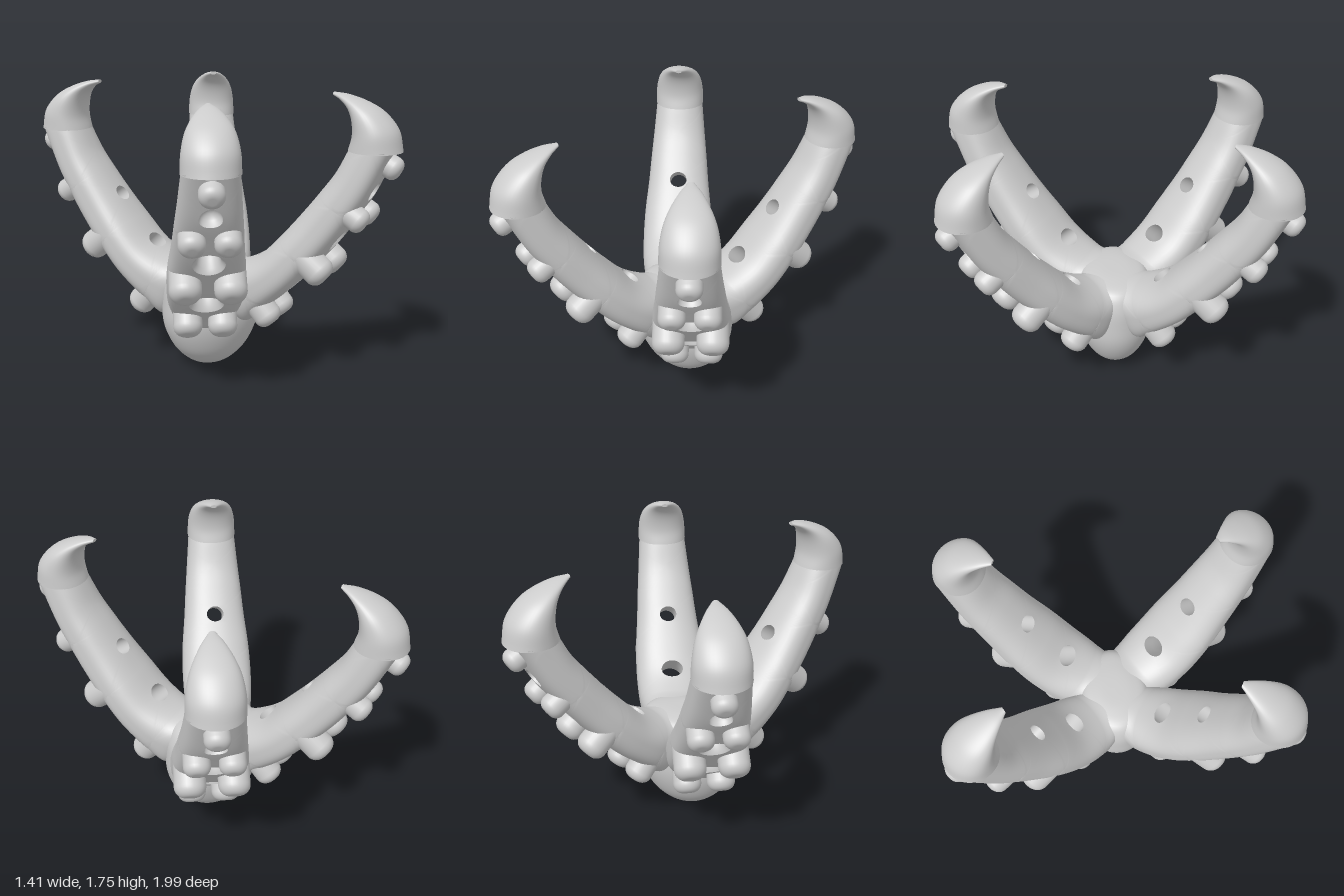
import * as THREE from 'three';
import { toCreasedNormals } from 'three/addons/utils/BufferGeometryUtils.js';

const material = new THREE.MeshStandardMaterial({ color: 0xcccccc });
const lerp = THREE.MathUtils.lerp;

// Stations: [outer z, outer y, inner z, inner y, half width]
const ARM = [
  [0.12, 0.42, 0.08, 0.46, 0.04],
  [0.22, 0.32, 0.02, 0.66, 0.17],
  [0.34, 0.42, 0.17, 0.69, 0.215],
  [0.51, 0.57, 0.316, 0.77, 0.227],
  [0.65, 0.73, 0.45, 0.91, 0.22],
  [0.785, 0.9, 0.567, 1.05, 0.2],
  [0.885, 1.05, 0.675, 1.19, 0.185],
  [0.975, 1.2, 0.76, 1.31, 0.17],
  [1.09, 1.45, 0.83, 1.45, 0.15],
];
const CLAW = [
  [1.125, 1.44, 0.82, 1.44, 0.157],
  [1.095, 1.56, 0.84, 1.52, 0.152],
  [1.01, 1.655, 0.835, 1.6, 0.133],
  [0.91, 1.71, 0.81, 1.665, 0.1],
  [0.8, 1.745, 0.765, 1.71, 0.058],
  [0.715, 1.755, 0.715, 1.735, 0.018],
];

// Smooth skin through the stations; v runs -1..1 across, side is outer or inner
function makeSkin(stations, outerPower, innerPower) {
  const curve = (f) => new THREE.CatmullRomCurve3(stations.map(f), false, 'catmullrom', 0.5);
  const outer = curve((p) => new THREE.Vector3(p[4], p[1], p[0]));
  const inner = curve((p) => new THREE.Vector3(p[4], p[3], p[2]));
  const n = stations.length - 1;
  const at = (c, s) => c.getPoint(THREE.MathUtils.clamp(s / n, 0, 1));
  const point = (s, v, isOuter) => {
    const o = at(outer, s), i = at(inner, s), w = o.x;
    const power = isOuter ? outerPower : innerPower;
    const depth = Math.pow(Math.max(0, 1 - Math.pow(Math.abs(v), power)), 1 / power);
    const p = o.clone().add(i).multiplyScalar(0.5).lerp(isOuter ? o : i, depth);
    p.x = v * w;
    return p;
  };
  const speed = (s) => at(outer, s + 0.2).distanceTo(at(outer, s - 0.2)) / 0.4;
  return { point, speed, width: (s) => at(outer, s).x };
}

// Joins consecutive closed rings of points with triangles
function joinRings(rings, out) {
  for (let j = 0; j + 1 < rings.length; j++) {
    const a = rings[j], b = rings[j + 1], n = a.length;
    for (let k = 0; k < n; k++) {
      const m = (k + 1) % n;
      for (const tri of [[a[k], a[m], b[m]], [a[k], b[m], b[k]]]) {
        const [p, q, r] = tri;
        if (p.distanceTo(q) < 1e-7 || q.distanceTo(r) < 1e-7 || r.distanceTo(p) < 1e-7) continue;
        tri.forEach((t) => out.push(t.x, t.y, t.z));
      }
    }
  }
}

function toGeometry(positions, crease) {
  const g = new THREE.BufferGeometry();
  g.setAttribute('position', new THREE.Float32BufferAttribute(positions, 3));
  g.scale(100, 100, 100); // finer vertex matching while creasing
  const c = toCreasedNormals(g, crease);
  c.scale(0.01, 0.01, 0.01);
  return c;
}

// Arm: a chain of tiles, each holding a through hole, a dimple or nothing
function armGeometry() {
  const skin = makeSkin(ARM, 3.4, 2.3);
  const out = [];
  const side = 20;
  const square = [];
  for (let e = 0; e < 4; e++) {
    for (let i = 0; i < side; i++) {
      const u = (i / side) * 2 - 1;
      square.push([[u, -1], [1, u], [-u, 1], [-1, -u]][e]);
    }
  }
  const ring = (c, t, R, d) => square.map(([px, py]) => {
    const a = Math.atan2(py, px);
    const s = c + lerp(py, Math.sin(a) * R / skin.speed(c), t);
    const q = lerp(px, Math.asin(Math.cos(a) * R / skin.width(c)) * 2 / Math.PI, t);
    const v = Math.abs(q) > 0.99999 ? Math.sign(q) : Math.sin(q * Math.PI / 2);
    return skin.point(s, v, true).lerp(skin.point(s, v, false), d);
  });
  const tiles = [
    { c: 1, R: 0.05, Ri: 0, depth: 0 },
    { c: 3, R: 0.1, Ri: 0.07, through: true },
    { c: 5, R: 0.09, Ri: 0.055, through: true },
    { c: 7, R: 0.062, Ri: 0, depth: 0.3 },
  ];
  const N = 10;
  for (const { c, R, Ri, through, depth } of tiles) {
    const front = [], back = [];
    for (let i = 0; i <= N; i++) {
      const t = Math.pow(i / N, 1.4);
      front.push(ring(c, t, R, 0));
      back.unshift(ring(c, t, through ? Ri : 0, 1));
    }
    if (through) {
      front.push(ring(c, 1, lerp(R, Ri, 0.6), 0.1), ring(c, 1, Ri, 0.3), ring(c, 1, Ri, 0.65));
      joinRings([...front, ...back], out);
    } else {
      for (let i = 1; i <= 5; i++) {
        const a = (i / 5) * Math.PI / 2;
        front.push(ring(c, 1, i === 5 ? 0 : R * Math.cos(a), depth * Math.sin(a)));
      }
      joinRings(front, out);
      joinRings(back, out);
    }
  }
  return toGeometry(out, 0.7);
}

// Claw: hooked tip with a flat base
function clawGeometry() {
  const skin = makeSkin(CLAW, 2, 2.2);
  const out = [], rings = [], n = 40, steps = 30;
  for (let j = 0; j <= steps; j++) {
    const s = (j / steps) * (CLAW.length - 1);
    rings.push(Array.from({ length: n }, (_, k) => {
      const a = (k / n) * Math.PI * 2;
      return skin.point(s, Math.sin(a), Math.cos(a) > 0);
    }));
  }
  const centre = (r) => {
    const c = r.reduce((sum, p) => sum.add(p), new THREE.Vector3()).divideScalar(n);
    return r.map(() => c);
  };
  joinRings([centre(rings[0]), ...rings, centre(rings[steps])], out);
  return toGeometry(out, 0.9);
}

// Stud: short peg with a rounded end, pointing along +y from its seat
function studGeometry(radius, height) {
  const pts = [new THREE.Vector2(radius, -0.09)];
  const c = radius * 0.68;
  for (let i = 0; i <= 8; i++) {
    const a = (i / 8) * Math.PI / 2;
    pts.push(new THREE.Vector2(radius - c + c * Math.cos(a), height - c + c * Math.sin(a)));
  }
  pts.push(new THREE.Vector2(0, height));
  return new THREE.LatheGeometry(pts, 28);
}

// Stud rows: [z, y, sideways offset, radius, height, downward tilt]
const STUDS = [
  [0.34, 0.43, 0.103, 0.086, 0.11, 0.85],
  [0.665, 0.755, 0.125, 0.092, 0.11, 0.68],
  [0.89, 1.068, 0.095, 0.074, 0.085, 0.55],
  [1.05, 1.364, 0, 0.069, 0.08, 0.47],
];

export function createModel() {
  const model = new THREE.Group();
  model.name = 'fourArmedClaw';
  const add = (parent, geometry, name) => {
    const mesh = new THREE.Mesh(geometry, material);
    mesh.name = name;
    parent.add(mesh);
    return mesh;
  };

  // Central hub, wider from side to side
  const profile = [[0, 0], [0.36, 0.02], [0.68, 0.1], [0.88, 0.2], [0.99, 0.31], [1, 0.43],
    [0.96, 0.56], [0.8, 0.655], [0.45, 0.685], [0, 0.69]].map(([x, y]) => new THREE.Vector2(x, y));
  const smooth = new THREE.SplineCurve(profile).getPoints(48);
  smooth.forEach((p) => { p.x = Math.max(0, p.x); p.y = Math.max(0, p.y); });
  const hub = new THREE.LatheGeometry(smooth, 64);
  hub.scale(0.325, 1, 0.245);
  add(model, hub, 'hub');

  const arm = armGeometry();
  const claw = clawGeometry();
  const studs = STUDS.map((s) => studGeometry(s[3], s[4]));

  // Four arms spread from the hub
  const places = { frontLeft: 30, frontRight: -30, backLeft: 150, backRight: -150 };
  for (const [place, degrees] of Object.entries(places)) {
    const group = new THREE.Group();
    group.name = place + 'Limb';
    group.rotation.y = THREE.MathUtils.degToRad(degrees);
    group.position.x = 0.065 * Math.sign(degrees);
    add(group, arm, 'arm');
    add(group, claw, 'claw');
    STUDS.forEach(([z, y, offset, , , tilt], i) => {
      for (const sign of offset ? [-1, 1] : [1]) {
        const stud = add(group, studs[i], 'stud');
        stud.position.set(sign * offset, y, z);
        stud.rotation.x = Math.PI / 2 + tilt;
      }
    });
    model.add(group);
  }
  return model;
}
